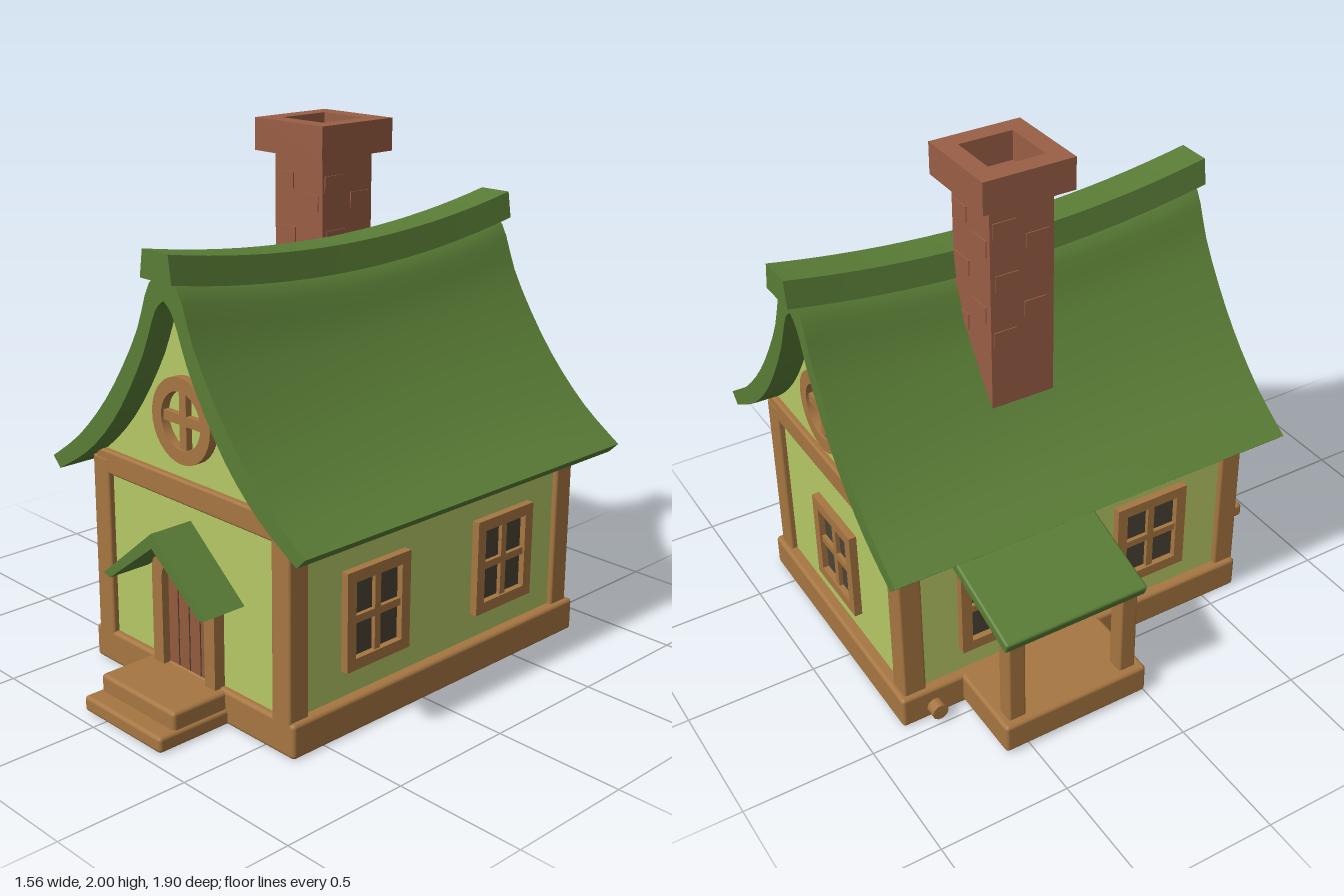
import * as THREE from 'three';
import { toCreasedNormals } from 'three/addons/utils/BufferGeometryUtils.js';
import { RoundedBoxGeometry } from 'three/addons/geometries/RoundedBoxGeometry.js';

const mat = (name, color) => {
  const m = new THREE.MeshStandardMaterial({ color });
  m.name = name;
  return m;
};

export function createModel() {
  const lime = mat('lime plaster', 0xb6c865);
  const wood = mat('timber', 0xa67642);
  const green = mat('roof green', 0x5a7d36);
  const brick = mat('brick', 0x9a5f45);
  const doorWood = mat('door planks', 0x925a3c);
  const dark = mat('dark glass', 0x4a4335);

  const model = new THREE.Group();
  model.name = 'cottage';
  const CX = 0.1, CZ = -0.1;

  const add = (name, geo, material, parent = model) => {
    const mesh = new THREE.Mesh(geo, material);
    mesh.name = name;
    parent.add(mesh);
    return mesh;
  };
  // Box given by its limits on each axis, with softly rounded edges
  const box = (name, m, [x0, x1], [y0, y1], [z0, z1], parent = model, r = 0.01) => {
    const s = [x1 - x0, y1 - y0, z1 - z0];
    const geo = r ? new RoundedBoxGeometry(...s, 2, r) : new THREE.BoxGeometry(...s);
    const mesh = add(name, geo, m, parent);
    mesh.position.set((x0 + x1) / 2, (y0 + y1) / 2, (z0 + z1) / 2);
    return mesh;
  };
  const extrude = (shape, depth, steps = 1) => toCreasedNormals(
    new THREE.ExtrudeGeometry(shape, { depth, steps, bevelEnabled: false, curveSegments: 16 }), 0.6);
  const poly = (pts) => new THREE.Shape(pts.map(([x, y]) => new THREE.Vector2(x, y)));
  const rect = (w, h) => poly([[-w / 2, -h / 2], [w / 2, -h / 2], [w / 2, h / 2], [-w / 2, h / 2]]);
  const mirrorX = (pts) => [...pts, ...pts.slice(0, -1).reverse().map(([x, y]) => [-x, y])];
  const smooth = (pts) => new THREE.SplineCurve(pts.map((p) => new THREE.Vector2(...p)))
    .getPoints(16).map((p) => [p.x, p.y]);

  // Foundation
  box('foundation', wood, [-0.45, 0.65], [0, 0.13], [-0.85, 0.65], model, 0.015);
  box('porchFloor', wood, [-0.76, -0.42], [0.01, 0.13], [-0.6, 0], model, 0.015);
  box('lowerStep', wood, [-0.12, 0.31], [0, 0.06], [0.6, 0.95], model, 0.015);
  box('upperStep', wood, [-0.11, 0.3], [0, 0.125], [0.6, 0.88], model, 0.015);
  const peg = add('foundationPeg', new THREE.CylinderGeometry(0.032, 0.032, 0.06, 10), wood);
  peg.rotation.z = Math.PI / 2;
  peg.position.set(-0.465, 0.05, -0.72);

  // Walls: a box below and a curved gable at each end
  box('walls', lime, [-0.41, 0.61], [0.1, 0.82], [-0.805, 0.625], model, 0);
  const gable = poly(mirrorX([[0.5, 0.8], [0.47, 0.88], [0.3, 1.05], [0.15, 1.28], [0.06, 1.47], [0, 1.51]]));
  for (const [name, z] of [['frontGable', 0.565], ['backGable', -0.805]])
    add(name, extrude(gable, 0.06), lime).position.set(CX, 0, z);

  // Timber frame
  for (const x of [-0.43, 0.54])
    for (const z of [-0.83, 0.56])
      box('cornerPost', wood, [x, x + 0.09], [0.1, 0.82], [z, z + 0.09]);
  for (const z of [-0.828, 0.568])
    box('gableBeam', wood, [-0.41, 0.61], [0.76, 0.85], [z, z + 0.08]);
  for (const x of [-0.428, 0.548])
    box('eaveBeam', wood, [x, x + 0.08], [0.74, 0.82], [-0.8, 0.6]);

  // Main roof: swept profile with a ridge that sags toward the middle
  const outer = smooth([[0.68, 0.79], [0.5, 0.92], [0.32, 1.11], [0.16, 1.35], [0.08, 1.54], [0, 1.6]]);
  const inner = smooth([[0.64, 0.75], [0.45, 0.87], [0.28, 1.04], [0.13, 1.27], [0.05, 1.45], [0, 1.5]]);
  const roofShape = poly([...mirrorX(outer), ...mirrorX(inner).reverse()]);
  const roofGeo = new THREE.ExtrudeGeometry(roofShape, { depth: 1.63, steps: 14, bevelEnabled: false });
  const rp = roofGeo.attributes.position;
  for (let i = 0; i < rp.count; i++) {
    const t = (rp.getZ(i) - 0.815) / 0.815;
    const y = rp.getY(i);
    rp.setY(i, y - 0.08 * (1 - t * t) * Math.max(0, (y - 0.78) / 0.82));
  }
  add('mainRoof', toCreasedNormals(roofGeo, 0.6), green).position.set(CX, 0, -0.91);

  // Ridge cap following the sag, narrower at the top
  const ridgeGeo = new THREE.BoxGeometry(1, 0.1, 1.7, 1, 1, 20);
  const gp = ridgeGeo.attributes.position;
  for (let i = 0; i < gp.count; i++) {
    const t = gp.getZ(i) / 0.85, y = gp.getY(i);
    gp.setX(i, gp.getX(i) * (y > 0 ? 0.135 : 0.165));
    gp.setY(i, y + 0.08 * t * t);
  }
  add('ridgeCap', toCreasedNormals(ridgeGeo, 0.6), green).position.set(CX, 1.54, CZ);

  // Chimney with a hollow cap and a few raised bricks
  const chimney = new THREE.Group();
  chimney.name = 'chimney';
  chimney.position.set(-0.093, 0, -0.195);
  model.add(chimney);
  box('chimneyShaft', brick, [-0.125, 0.125], [0.93, 1.89], [-0.125, 0.125], chimney, 0);
  const capShape = rect(0.355, 0.355);
  capShape.holes.push(rect(0.21, 0.21));
  const cap = add('chimneyCap', extrude(capShape, 0.12), brick, chimney);
  cap.rotation.x = -Math.PI / 2;
  cap.position.y = 1.88;
  for (let side = 0; side < 4; side++) {
    const face = new THREE.Group();
    face.name = 'raisedBricks';
    face.rotation.y = side * Math.PI / 2;
    chimney.add(face);
    for (const [x, y] of [[-0.07, 1.78], [0.06, 1.71], [-0.06, 1.58], [0.05, 1.45], [-0.07, 1.36]])
      box('raisedBrick', brick, [x - 0.045, x + 0.045], [y - 0.03, y + 0.03], [0.12, 0.129], face, 0);
  }

  // Square windows, facing outward along local +z
  const windowAt = (x, z, turn) => {
    const g = new THREE.Group();
    g.name = 'window';
    g.position.set(x, 0.415, z);
    g.rotation.y = turn;
    model.add(g);
    const frame = rect(0.31, 0.37);
    frame.holes.push(rect(0.225, 0.285));
    add('windowFrame', extrude(frame, 0.03), wood, g);
    box('windowPane', dark, [-0.12, 0.12], [-0.15, 0.15], [-0.002, 0.006], g, 0);
    box('uprightBar', wood, [-0.014, 0.014], [-0.145, 0.145], [0, 0.022], g, 0);
    box('crossBar', wood, [-0.115, 0.115], [-0.014, 0.014], [0, 0.022], g, 0);
  };
  for (const z of [0.235, -0.435]) {
    windowAt(0.61, z, Math.PI / 2);
    windowAt(-0.41, z, -Math.PI / 2);
  }
  windowAt(CX, -0.805, Math.PI);

  // Round gable windows
  for (const [z, turn] of [[0.625, 0], [-0.805, Math.PI]]) {
    const g = new THREE.Group();
    g.name = 'roundWindow';
    g.position.set(CX, 1.07, z);
    g.rotation.y = turn;
    model.add(g);
    const ring = new THREE.Shape().absarc(0, 0, 0.155, 0, Math.PI * 2);
    ring.holes.push(new THREE.Path().absarc(0, 0, 0.105, 0, Math.PI * 2, true));
    add('roundFrame', extrude(ring, 0.035), wood, g);
    box('uprightBar', wood, [-0.018, 0.018], [-0.11, 0.11], [-0.01, 0.025], g, 0);
    box('crossBar', wood, [-0.11, 0.11], [-0.018, 0.018], [-0.01, 0.025], g, 0);
  }

  // Arched door and surround
  const arch = (half, spring, rise) => {
    const s = new THREE.Shape();
    s.moveTo(-half, 0.12).lineTo(half, 0.12).lineTo(half, spring);
    s.absellipse(0, spring, half, rise, 0, Math.PI, false);
    s.lineTo(-half, 0.12);
    return s;
  };
  const surround = arch(0.17, 0.48, 0.13);
  surround.holes.push(arch(0.115, 0.46, 0.1));
  add('doorSurround', extrude(surround, 0.05), wood).position.set(CX, 0, 0.62);
  add('door', extrude(arch(0.12, 0.46, 0.1), 0.025), doorWood).position.set(CX, 0, 0.615);
  for (const dx of [-0.06, 0, 0.06])
    box('plankGroove', dark, [CX + dx - 0.002, CX + dx + 0.002], [0.13, 0.53], [0.638, 0.642], model, 0);

  // Door canopy
  const canopy = poly([[-0.28, 0.47], [-0.245, 0.46], [0, 0.645], [0.245, 0.46], [0.28, 0.47], [0, 0.7]]);
  add('doorCanopy', extrude(canopy, 0.2), green).position.set(CX, 0, 0.6);

  // Side porch
  for (const z of [-0.57, -0.1])
    box('porchPost', wood, [-0.73, -0.66], [0.12, 0.55], [z, z + 0.07]);
  const porchRoof = box('porchRoof', green, [-0.79, -0.41], [0.565, 0.61], [-0.61, -0.03]);
  porchRoof.rotation.z = 0.32;

  return model;
}
